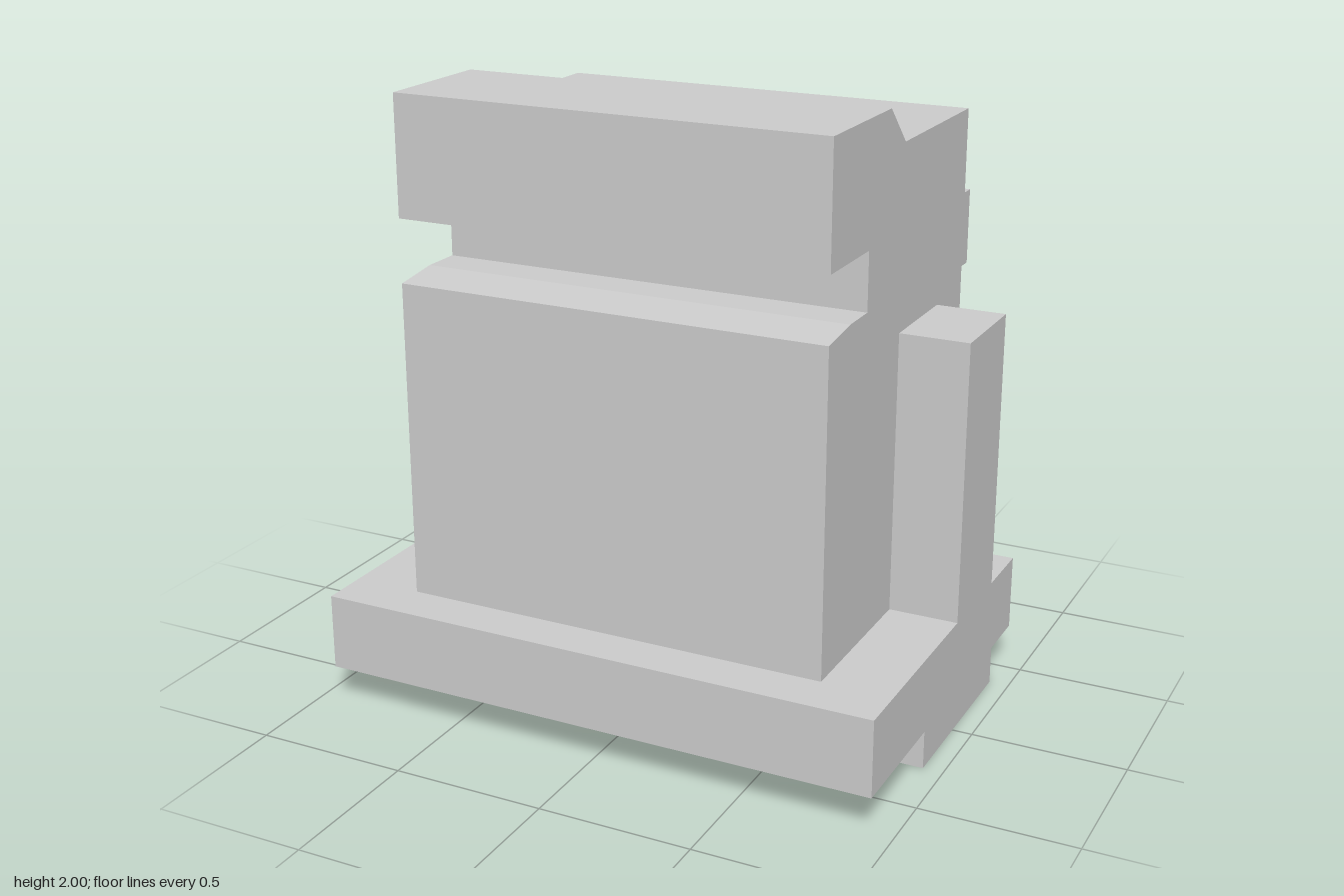
import * as THREE from 'three';

const material = new THREE.MeshStandardMaterial({ color: 0xcccccc, flatShading: true });
const smooth = new THREE.MeshStandardMaterial({ color: 0xcccccc });

export function createModel() {
  const model = new THREE.Group();
  model.name = 'machineBlock';

  const add = (name, geometry, mat = material) => {
    const mesh = new THREE.Mesh(geometry, mat);
    mesh.name = name;
    model.add(mesh);
    return mesh;
  };
  // Box given by its limits on each axis
  const box = (name, [x0, x1], [y0, y1], [z0, z1]) =>
    add(name, new THREE.BoxGeometry(x1 - x0, y1 - y0, z1 - z0))
      .position.set((x0 + x1) / 2, (y0 + y1) / 2, (z0 + z1) / 2);

  const halfWidth = 0.708, back = -0.56, deckTop = 1.88, holeFloor = 1.48;

  // Body: side profile (z, y) with front slot and sloped step, swept across x
  const profile = [
    [0.555, 0.375], [0.555, 1.41], [0.4, 1.43], [0.27, 1.43], [0.27, 1.615],
    [0.555, 1.615], [0.555, 2], [0.125, 2], [0, deckTop], [0, holeFloor],
    [back, holeFloor], [back, 0.375],
  ].map(([z, y]) => new THREE.Vector2(-z, y));
  const body = new THREE.ExtrudeGeometry(new THREE.Shape(profile), { depth: 2 * halfWidth, bevelEnabled: false });
  body.rotateY(Math.PI / 2).translate(-halfWidth, 0, 0);
  add('body', body);

  // Rear deck with two round blind holes
  const deckShape = new THREE.Shape([
    [-halfWidth, 0], [halfWidth, 0], [halfWidth, -back], [-halfWidth, -back],
  ].map(([x, y]) => new THREE.Vector2(x, y)));
  for (const x of [-0.31, 0.31]) {
    deckShape.holes.push(new THREE.Path().absarc(x, 0.19, 0.115, 0, Math.PI * 2, true));
  }
  const deck = new THREE.ExtrudeGeometry(deckShape, { depth: deckTop - holeFloor, bevelEnabled: false, curveSegments: 32 });
  deck.rotateX(-Math.PI / 2).translate(0, holeFloor, 0);
  add('rearDeck', deck, smooth);

  // Base plate, its rear tab and the middle foot
  box('basePlate', [-0.935, 0.935], [0.125, 0.375], [back, 0.708]);
  box('rearTab', [-0.248, 0.248], [0.125, 0.375], [-0.708, back]);
  box('middleFoot', [-0.077, 0.077], [0, 0.125], [-0.37, 0.27]);

  // Mirrored parts: outer feet, side ribs, back lugs
  for (const [side, s] of [['left', 1], ['right', -1]]) {
    const span = (a, b) => (s > 0 ? [a, b] : [-b, -a]);
    box(side + 'Foot', span(0.547, 0.935), [0, 0.125], [-0.37, 0.27]);
    box(side + 'Rib', span(halfWidth, 0.935), [0.375, 1.292], [-0.335, 0]);
    box(side + 'Lug', span(0.5, 0.705), [1.36, 1.605], [-0.62, back]);
  }
  return model;
}
